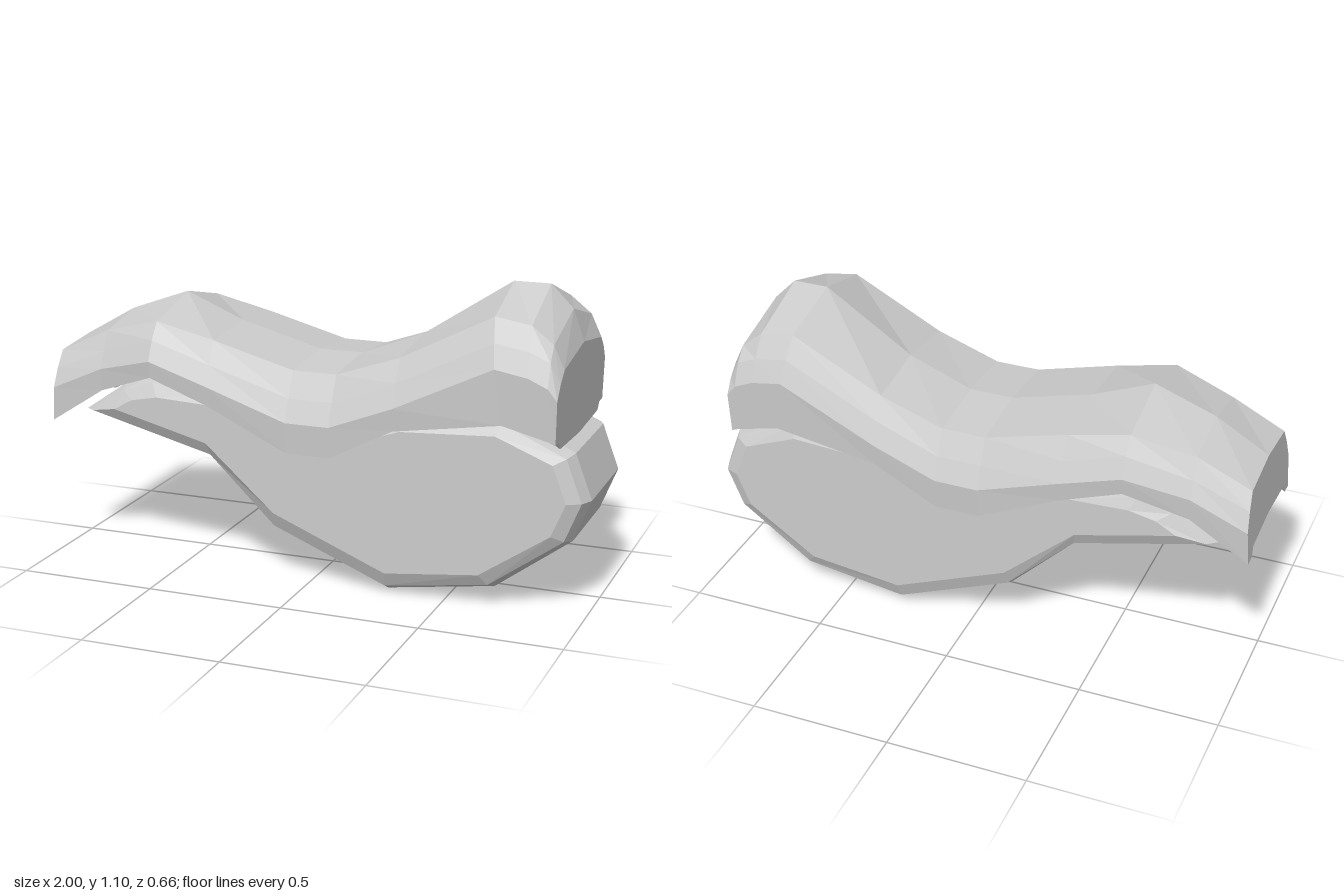
import * as THREE from 'three';

const material = new THREE.MeshStandardMaterial({ color: 0xcccccc, flatShading: true, side: THREE.DoubleSide });

// Joins closed rings of Vector3 into a capped solid; project flattens the end caps.
// Rings run counter-clockwise when seen from the last ring's side.
function loft(rings, project) {
  const pos = [];
  const tri = (a, b, c) => pos.push(...a.toArray(), ...b.toArray(), ...c.toArray());
  for (let i = 0; i < rings.length - 1; i++) {
    const r = rings[i], s = rings[i + 1], n = r.length;
    for (let j = 0; j < n; j++) {
      const k = (j + 1) % n;
      tri(r[j], r[k], s[k]);
      tri(r[j], s[k], s[j]);
    }
  }
  const first = rings[0], last = rings[rings.length - 1];
  for (const [a, b, c] of THREE.ShapeUtils.triangulateShape(first.map(project), [])) tri(first[c], first[b], first[a]);
  for (const [a, b, c] of THREE.ShapeUtils.triangulateShape(last.map(project), [])) tri(last[a], last[b], last[c]);
  const g = new THREE.BufferGeometry();
  g.setAttribute('position', new THREE.Float32BufferAttribute(pos, 3));
  g.computeVertexNormals();
  return g;
}

// Lower body: side outline and the smaller flat face inside its bevel
function lowerBody() {
  const outer = [
    [-0.9, 0.54], [-0.38, 0.41], [-0.14, 0.17], [0.28, 0.0], [0.67, 0.06], [0.94, 0.26], [1.0, 0.41],
    [0.94, 0.57], [0.7, 0.68], [0.34, 0.66], [0.11, 0.57], [-0.05, 0.57], [-0.35, 0.68], [-0.62, 0.7], [-0.74, 0.65],
  ];
  const face = [
    [-0.75, 0.57], [-0.39, 0.48], [-0.13, 0.25], [0.29, 0.08], [0.63, 0.12], [0.88, 0.29], [0.93, 0.41],
    [0.88, 0.54], [0.68, 0.62], [0.34, 0.6], [0.11, 0.52], [-0.05, 0.52], [-0.35, 0.62], [-0.58, 0.63], [-0.68, 0.61],
  ];
  // [z, blend from outline to face]
  const layers = [[-0.28, 1], [-0.26, 0.32], [-0.205, 0], [0.18, 0], [0.23, 0.32], [0.255, 1]];
  const rings = layers.map(([z, t]) => outer.map(([x, y], i) =>
    new THREE.Vector3(x + (face[i][0] - x) * t, y + (face[i][1] - y) * t, z)));
  return loft(rings, p => new THREE.Vector2(p.x, p.y));
}

// Upper shell: arched sections along x with a shallow hollow beneath
function upperShell() {
  // [x at ridge, x at rim, ridge y, shoulder y, side y, lower side y, rim y, half width, hollow depth]
  const stations = [
    [-0.98, -1.0, 0.78, 0.76, 0.7, 0.63, 0.505, 0.265, 0.05],
    [-0.79, -0.79, 0.89, 0.85, 0.78, 0.72, 0.64, 0.275, 0.07],
    [-0.57, -0.57, 0.97, 0.91, 0.85, 0.78, 0.72, 0.33, 0.07],
    [-0.35, -0.35, 0.88, 0.86, 0.78, 0.71, 0.64, 0.33, 0.07],
    [-0.05, -0.05, 0.8, 0.78, 0.69, 0.61, 0.5, 0.33, 0.08],
    [0.11, 0.11, 0.8, 0.78, 0.69, 0.61, 0.5, 0.33, 0.08],
    [0.34, 0.34, 0.89, 0.86, 0.78, 0.7, 0.62, 0.33, 0.07],
    [0.66, 0.72, 1.1, 1.03, 0.95, 0.87, 0.68, 0.33, 0.06],
    [0.79, 0.82, 1.1, 1.01, 0.93, 0.85, 0.655, 0.33, 0.05],
    [0.87, 0.88, 1.02, 0.95, 0.9, 0.82, 0.64, 0.33, -0.03],
    [0.91, 0.905, 0.91, 0.87, 0.83, 0.78, 0.63, 0.33, -0.04],
  ];
  const rings = stations.map(([xt, xb, ridge, sh, side, low, rim, w, hollow]) => {
    const at = (z, y) => new THREE.Vector3(xb + (xt - xb) * (y - rim) / (ridge - rim), y, z);
    const half = [
      [w * 0.77, sh], [w * 0.9, side], [w, low], [w * 0.98, rim],
      [w - 0.05, rim + hollow * 0.05], [w - 0.07, rim + hollow * 0.7],
    ];
    return [
      at(0, ridge), ...half.map(([z, y]) => at(z, y)),
      at(0, rim + hollow), ...half.reverse().map(([z, y]) => at(-z, y)),
    ];
  });
  return loft(rings, p => new THREE.Vector2(-p.z, p.y));
}

export function createModel() {
  const group = new THREE.Group();
  const add = (name, geometry) => {
    const mesh = new THREE.Mesh(geometry, material);
    mesh.name = name;
    group.add(mesh);
  };
  add('lowerBody', lowerBody());
  add('upperShell', upperShell());
  return group;
}
